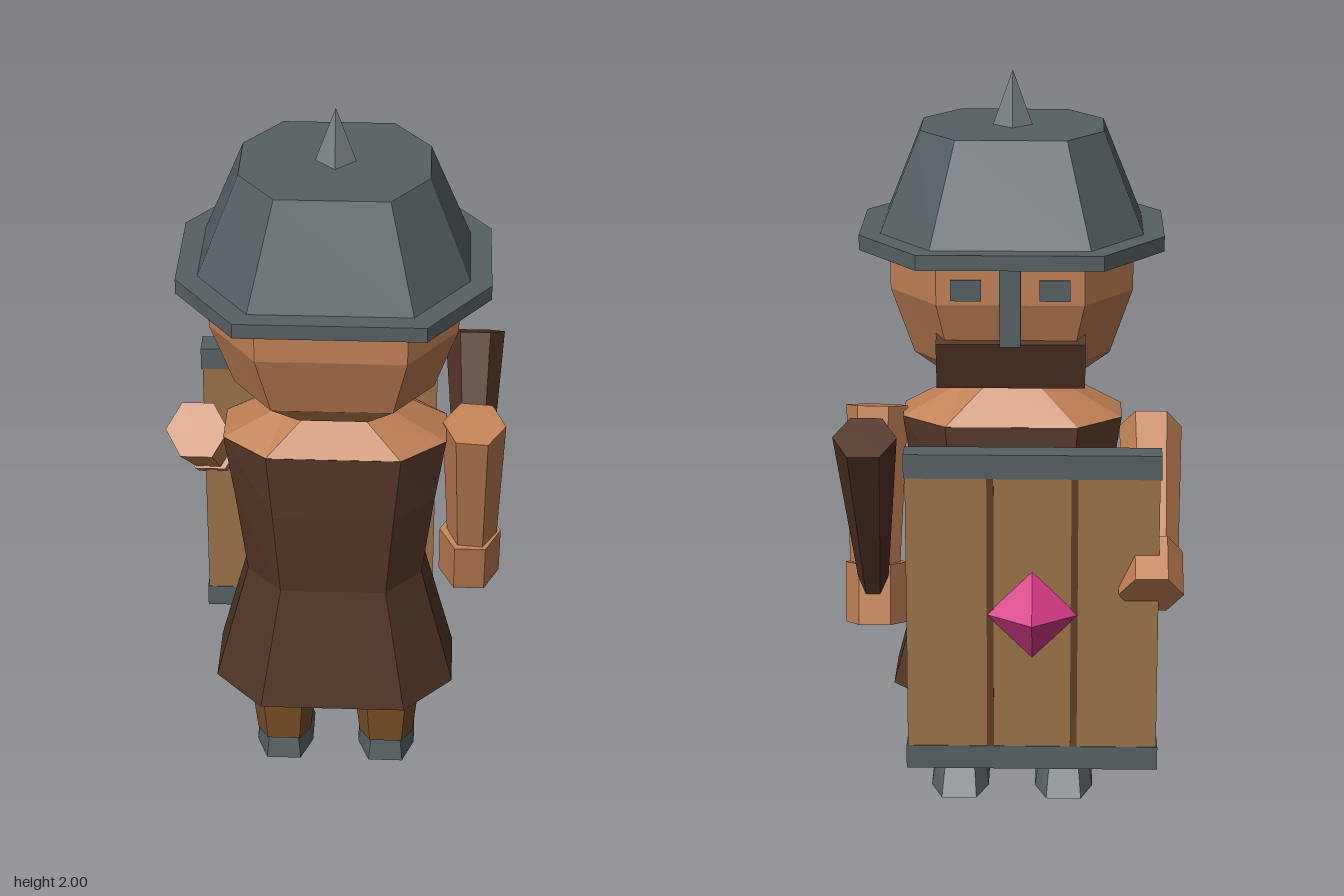
import * as THREE from 'three';

const mat = (name, color) => {
  const m = new THREE.MeshStandardMaterial({ color, flatShading: true });
  m.name = name;
  return m;
};

// Stacked eight-sided rings, bottom to top; each ring is [y, halfWidth, halfDepth, centreZ]
function loft(rings) {
  const A = 0.6, B = 0.41;
  const oct = [[1, -B], [1, B], [A, 1], [-A, 1], [-1, B], [-1, -B], [-A, -1], [A, -1]];
  const pts = rings.map(([y, hx, hz, cz]) => oct.map(([x, z]) => [x * hx, y, z * hz + cz]));
  const pos = [];
  const tri = (...p) => p.forEach(v => pos.push(...v));
  const n = rings.length - 1;
  for (let i = 0; i < 8; i++) {
    const j = (i + 1) % 8;
    for (let r = 0; r < n; r++) {
      const lo = pts[r], hi = pts[r + 1];
      tri(lo[i], hi[j], lo[j]);
      tri(lo[i], hi[i], hi[j]);
    }
    tri([0, rings[0][0], rings[0][3]], pts[0][i], pts[0][j]);
    tri([0, rings[n][0], rings[n][3]], pts[n][j], pts[n][i]);
  }
  const g = new THREE.BufferGeometry();
  g.setAttribute('position', new THREE.Float32BufferAttribute(pos, 3));
  g.computeVertexNormals();
  return g;
}

export function createModel() {
  const model = new THREE.Group();
  model.name = 'warrior';
  const skin = mat('skin', 0xc08055);
  const leather = mat('darkLeather', 0x523524);
  const cloth = mat('trouserBrown', 0x7a5028);
  const steel = mat('steel', 0x566064);
  const spikeSteel = mat('lightSteel', 0x7a8284);
  const wood = mat('shieldWood', 0x9a7247);
  const groove = mat('shieldGroove', 0x5f4024);
  const pink = mat('gemPink', 0xd63b87);

  const add = (name, geo, material, x = 0, y = 0, z = 0) => {
    const m = new THREE.Mesh(geo, material);
    m.name = name;
    m.position.set(x, y, z);
    model.add(m);
    return m;
  };
  const box = (name, material, w, h, d, x, y, z) =>
    add(name, new THREE.BoxGeometry(w, h, d), material, x, y, z);

  // Six-sided limb between two points, with side edges pointing along x
  const limb = (name, material, from, to, r0, r1) => {
    const a = new THREE.Vector3(...from), b = new THREE.Vector3(...to);
    const dir = b.clone().sub(a);
    const g = new THREE.CylinderGeometry(r1, r0, dir.length(), 6).rotateY(Math.PI / 6);
    const mid = a.add(b).multiplyScalar(0.5);
    const m = add(name, g, material, mid.x, mid.y, mid.z);
    m.quaternion.setFromUnitVectors(new THREE.Vector3(0, 1, 0), dir.normalize());
  };

  const C = 0.075; // body axis in z

  // Head and helmet
  add('head', loft([[1.17, 0.15, 0.14, C], [1.26, 0.26, 0.24, C], [1.44, 0.32, 0.3, C],
    [1.64, 0.32, 0.3, C]]), skin);
  add('helmetBrim', loft([[1.55, 0.4, 0.375, C], [1.59, 0.4, 0.375, C]]), steel);
  add('helmet', loft([[1.59, 0.345, 0.325, C], [1.855, 0.24, 0.222, C]]), steel);
  add('helmetSpike', new THREE.ConeGeometry(0.052, 0.145, 4), spikeSteel, 0, 1.9275, C);
  box('noseGuard', steel, 0.055, 0.23, 0.043, 0, 1.455, -0.244);
  for (const s of [1, -1]) box('eye', steel, 0.08, 0.055, 0.008, s * 0.115, 1.48, -0.227);

  // Beard: side profile drawn as (-z, y), extruded across the chin
  const profile = [[0.165, 1.35], [0.205, 1.33], [0.165, 1.2], [0.1, 1.21], [0.145, 1.235]];
  const beard = new THREE.ExtrudeGeometry(
    new THREE.Shape(profile.map(p => new THREE.Vector2(...p))), { depth: 0.39, bevelEnabled: false });
  beard.translate(0, 0, -0.195).rotateY(Math.PI / 2);
  add('beard', beard, leather);

  // Torso
  add('shoulders', loft([[1.07, 0.295, 0.172, C], [1.165, 0.125, 0.108, C]]), skin);
  add('tunic', loft([[0.3, 0.328, 0.24, C], [0.65, 0.237, 0.178, C], [0.89, 0.268, 0.183, C],
    [1.07, 0.296, 0.173, C]]), leather);

  // Legs and shoes
  for (const s of [1, -1]) {
    add('leg', loft([[0.07, 0.075, 0.083, 0.08], [0.32, 0.102, 0.108, 0.078]]), cloth, s * 0.145);
    add('shoe', loft([[0, 0.08, 0.147, 0.018], [0.085, 0.066, 0.105, 0.045]]), steel, s * 0.145);
  }

  // Left arm holding the club
  limb('leftArm', skin, [0.37, 1.08, 0.07], [0.375, 0.62, -0.05], 0.085, 0.068);
  limb('leftHand', skin, [0.37, 0.665, -0.04], [0.37, 0.505, -0.08], 0.085, 0.085);
  limb('club', leather, [0.375, 0.52, -0.05], [0.372, 1.122, -0.355], 0.03, 0.083);

  // Right arm reaching to the shield
  limb('rightArm', skin, [-0.375, 1.03, 0.05], [-0.375, 0.76, -0.29], 0.085, 0.068);
  limb('rightHand', skin, [-0.37, 0.785, -0.27], [-0.37, 0.705, -0.38], 0.085, 0.085);

  // Shield with planks, metal bands and gem
  const sx = -0.06, sy = 0.64, sz = -0.33;
  box('shieldBoard', wood, 0.66, 0.76, 0.066, sx, sy, sz);
  for (const s of [1, -1]) {
    box('shieldBand', steel, 0.668, 0.065, 0.07, sx, sy + s * 0.4075, sz);
    box('shieldGroove', groove, 0.018, 0.75, 0.07, sx + s * 0.11, sy, sz);
  }
  const gem = add('shieldGem', new THREE.OctahedronGeometry(1), pink, sx, sy, -0.363);
  gem.scale.set(0.12, 0.12, 0.087);

  return model;
}
